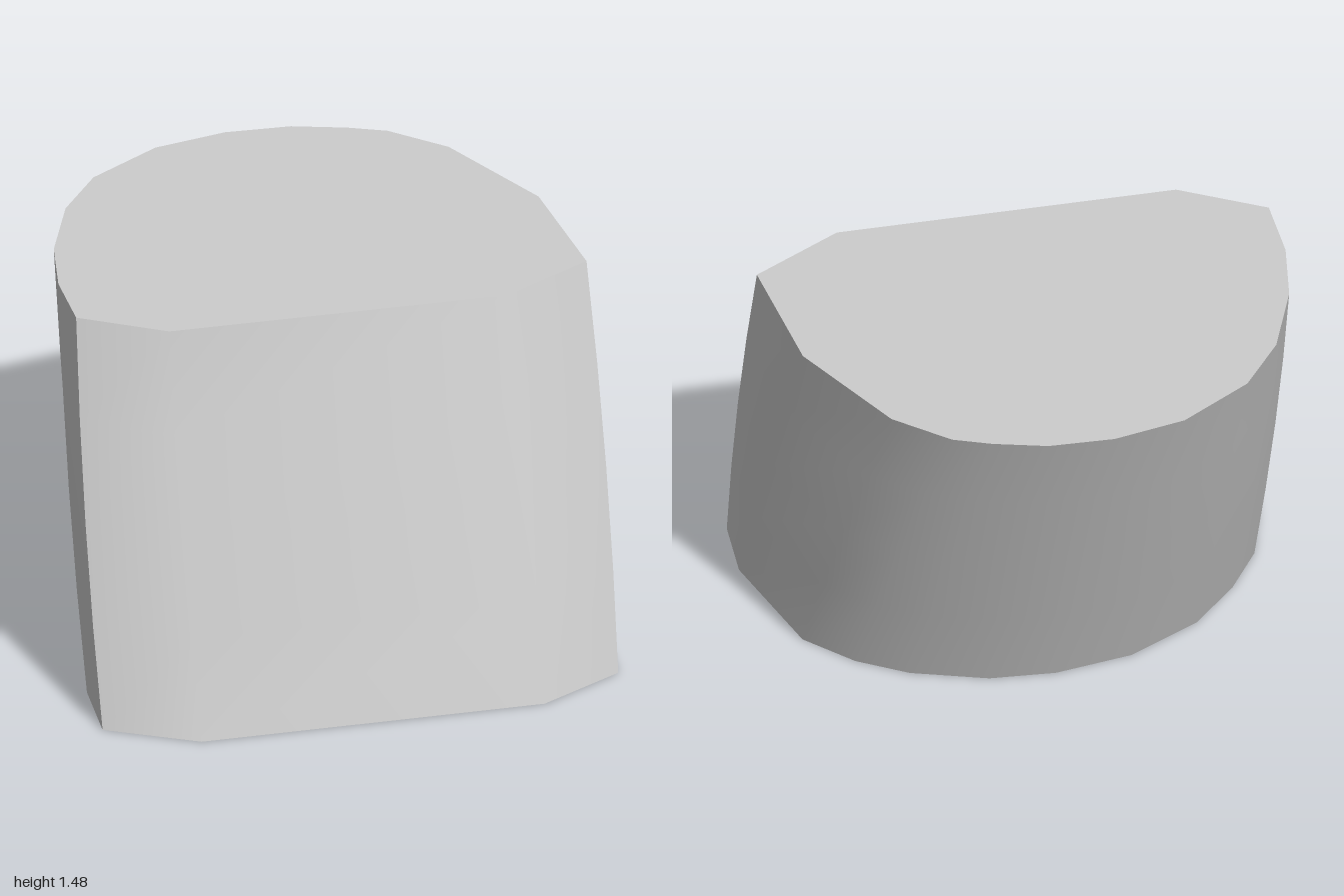
import * as THREE from 'three';
import { toCreasedNormals } from 'three/addons/utils/BufferGeometryUtils.js';

const HEIGHT = 1.48;

// Matching [x, z] outlines, counter-clockwise from above, starting at the front left corner
const BOTTOM = [
  [0.985, 0.81], [1.0, 0.54], [0.87, 0.05], [0.71, -0.13], [0.53, -0.25],
  [0.25, -0.35], [0, -0.37], [-0.3, -0.32], [-0.58, -0.17], [-0.76, 0.02],
  [-0.89, 0.22], [-0.97, 0.5], [-0.985, 0.81], [-0.65, 0.99], [0.66, 0.99],
];
const TOP = [
  [0.98, 0.33], [0.93, -0.22], [0.7, -0.69], [0.51, -0.87], [0.37, -0.93],
  [0.17, -0.99], [-0.08, -1], [-0.36, -0.94], [-0.64, -0.76], [-0.8, -0.54],
  [-0.92, -0.23], [-0.97, 0.05], [-0.97, 0.33], [-0.66, 0.52], [0.63, 0.53],
];

// Cross-section at fraction t of the height, with slightly bulging sides
function section(t) {
  const bulge = 1 + 0.06 * t * (1 - t);
  return BOTTOM.map(([x, z], i) => {
    const px = THREE.MathUtils.lerp(x, TOP[i][0], t) * bulge;
    return [
      THREE.MathUtils.clamp(px, -1, 1),
      HEIGHT * t,
      THREE.MathUtils.lerp(z, TOP[i][1], t),
    ];
  });
}

function meshFrom(name, points, index, material) {
  const geometry = new THREE.BufferGeometry();
  geometry.setAttribute('position', new THREE.Float32BufferAttribute(points.flat(), 3));
  geometry.setIndex(index);
  const mesh = new THREE.Mesh(toCreasedNormals(geometry, 0.75), material);
  mesh.name = name;
  return mesh;
}

export function createModel() {
  const group = new THREE.Group();
  group.name = 'slantedBlock';
  const grey = new THREE.MeshStandardMaterial({ color: 0xcccccc });
  grey.name = 'light grey';

  // Leaning wall, lofted through the sections
  const rings = [0, 0.25, 0.5, 0.75, 1].map(section);
  const n = BOTTOM.length;
  const wall = [];
  for (let r = 0; r < rings.length - 1; r++) {
    for (let i = 0; i < n; i++) {
      const a = r * n + i, b = r * n + (i + 1) % n;
      wall.push(a, b, b + n, a, b + n, a + n);
    }
  }
  group.add(meshFrom('slantedWall', rings.flat(), wall, grey));

  // Flat top and bottom
  const top = [], bottom = [];
  for (let i = 1; i < n - 1; i++) {
    top.push(0, i, i + 1);
    bottom.push(0, i + 1, i);
  }
  group.add(meshFrom('topFace', rings[rings.length - 1], top, grey));
  group.add(meshFrom('bottomFace', rings[0], bottom, grey));
  return group;
}
